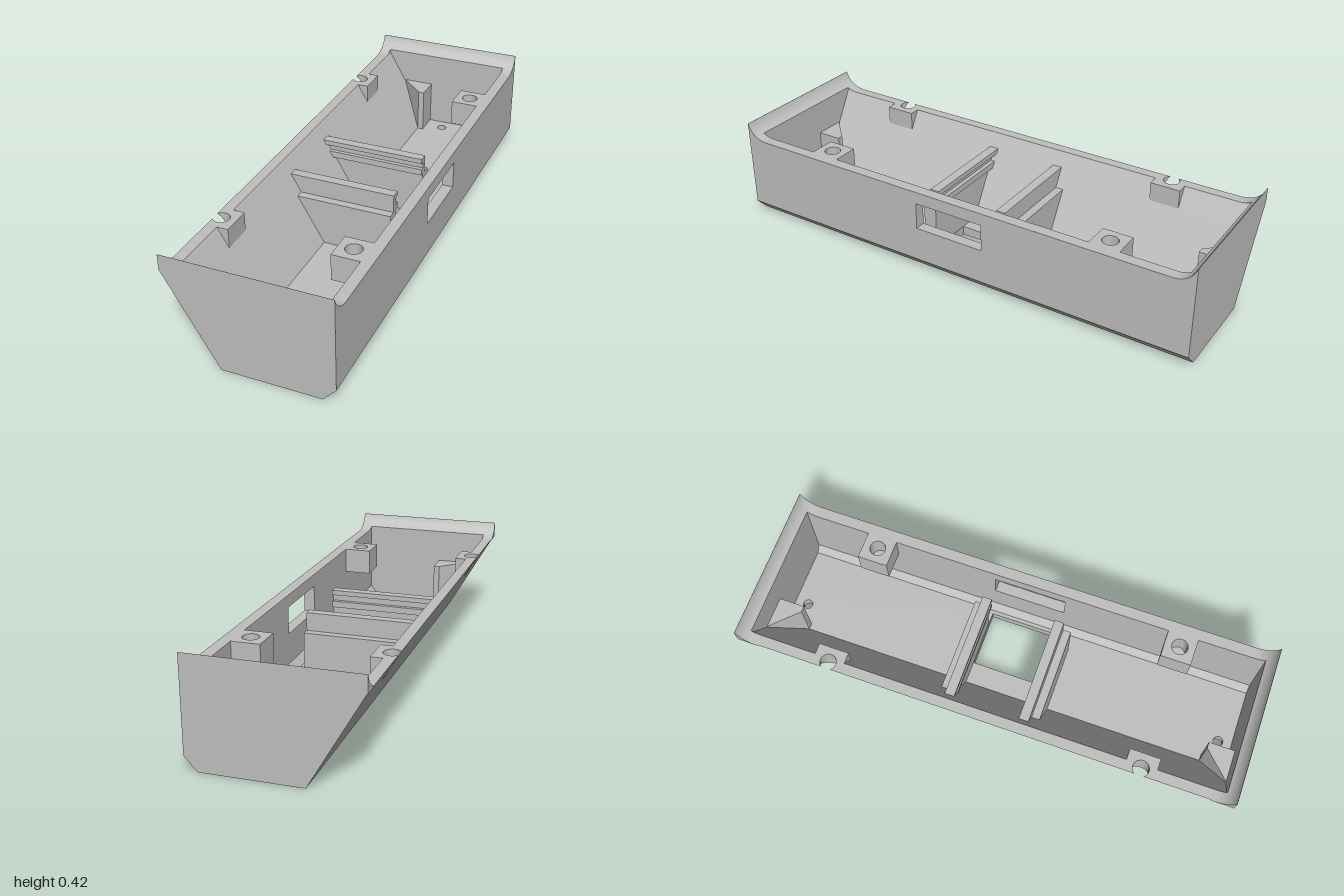
import * as THREE from 'three';
import { toCreasedNormals } from 'three/addons/utils/BufferGeometryUtils.js';

const RIM = 0.355, FLOOR = 0.038, INNER_Z = 0.96, RIGHT = 0.32;
const SLOPE = 0.21 / 0.36;
const outerX = (y) => -0.11 - SLOPE * y;              // outside of the leaning wall
const outerY = (x) => (-0.11 - x) / SLOPE;
const innerX = (y) => -0.09 - SLOPE * (y - FLOOR);    // inside of the leaning wall
const innerY = (x) => FLOOR + (-0.09 - x) / SLOPE;

export function createModel() {
  const group = new THREE.Group();
  const grey = new THREE.MeshStandardMaterial({ color: 0xbfbfbf });
  grey.name = 'grey plastic';

  const add = (name, geo) => {
    const mesh = new THREE.Mesh(toCreasedNormals(geo, 0.5), grey);
    mesh.name = name;
    group.add(mesh);
    return mesh;
  };
  const poly = (pts) => new THREE.Shape(pts.map(([a, b]) => new THREE.Vector2(a, b)));
  const circle = (x, y, r) => new THREE.Path().absarc(x, y, r, 0, Math.PI * 2, true);
  const extrude = (shape, depth) =>
    new THREE.ExtrudeGeometry(shape, { depth, bevelEnabled: false, curveSegments: 20 });

  // Section in x,y run along z
  const along = (name, shape, z0, z1) => add(name, extrude(shape, z1 - z0).translate(0, 0, z0));
  // Section in z,y run along x
  const across = (name, shape, x0, x1) =>
    add(name, extrude(shape, x1 - x0).rotateY(-Math.PI / 2).translate(x1, 0, 0));
  // Plan in x,-z raised to a flat top; the underside follows a rule of x
  const raise = (name, shape, top, bottom) => {
    const geo = extrude(shape, 1).rotateX(-Math.PI / 2);
    const p = geo.attributes.position;
    for (let i = 0; i < p.count; i++) p.setY(i, p.getY(i) > 0.5 ? top : bottom(p.getX(i)));
    return add(name, geo);
  };

  // Floor with a rectangular opening and two screw holes
  const floor = poly([[-0.09, -INNER_Z], [0.25, -INNER_Z], [0.25, INNER_Z], [-0.09, INNER_Z]]);
  floor.holes.push(poly([[0, -0.148], [0, 0.148], [0.235, 0.148], [0.235, -0.148]]));
  for (const s of [-1, 1]) floor.holes.push(circle(0.013, s * 0.905, 0.02));
  raise('floor', floor, FLOOR, () => 0);

  // Upright wall, split around its window
  const wallLow = [[0.25, 0], [0.27, 0], [RIGHT, 0.053]];
  const wallFoot = [[0.275, 0.07], [0.25, FLOOR]];
  const upright = (top) => poly([...wallLow, [RIGHT, top], [0.275, top], ...wallFoot]);
  along('uprightWall', upright(RIM), -INNER_Z, -0.148);
  along('uprightWall', upright(RIM), 0.148, INNER_Z);
  along('wallBelowWindow', upright(0.195), -0.148, 0.148);
  along('wallAboveWindow',
    poly([[0.275, 0.305], [RIGHT, 0.305], [RIGHT, RIM], [0.275, RIM]]), -0.148, 0.148);

  // Leaning wall: lower strip full length, upper strip between the screw tabs
  const TAB_X = -0.23, TAB_Z = 0.632, TAB_H = 0.061;
  along('leaningWallLower', poly([[-0.11, 0], [-0.09, 0], [-0.09, FLOOR],
    [TAB_X, innerY(TAB_X)], [TAB_X, outerY(TAB_X)]]), -INNER_Z, INNER_Z);
  const upper = poly([[TAB_X, outerY(TAB_X)], [TAB_X, innerY(TAB_X)],
    [innerX(RIM), RIM], [outerX(RIM), RIM]]);
  const a = TAB_Z - TAB_H, b = TAB_Z + TAB_H;
  for (const [z0, z1] of [[-INNER_Z, -b], [-a, a], [b, INNER_Z]])
    along('leaningWallUpper', upper, z0, z1);

  for (const s of [-1, 1]) {
    // Tab in the leaning wall whose bore breaks out of the slope
    const edge = outerX(RIM), r = 0.032, cx = -0.29;
    const open = Math.acos((edge - cx) / r);
    const tab = new THREE.Shape();
    tab.moveTo(edge, -TAB_H);
    tab.lineTo(TAB_X, -TAB_H);
    tab.lineTo(TAB_X, TAB_H);
    tab.lineTo(edge, TAB_H);
    tab.absarc(cx, 0, r, open, -open, true);
    tab.closePath();
    raise('slopedScrewTab', tab, RIM, outerY).position.z = s * TAB_Z;

    // Blind screw boss on the upright wall
    const bossPlan = () => poly([[0.165, -TAB_H], [0.28, -TAB_H], [0.28, TAB_H], [0.165, TAB_H]]);
    const boss = bossPlan();
    boss.holes.push(circle(0.225, 0, r));
    raise('screwBoss', boss, RIM, () => 0.27).position.z = s * TAB_Z;
    raise('screwBossBase', bossPlan(), 0.27, () => 0.25).position.z = s * TAB_Z;

    // Corner gusset
    raise('cornerGusset', poly([[-0.2, s * 0.965], [-0.065, s * 0.965],
      [-0.065, s * 0.855], [-0.09, s * 0.855]]), innerY(-0.2), (x) => Math.max(innerY(x), FLOOR) - 0.01);

    // End panel with a rounded slot
    const panel = poly([[-0.11, 0], ...wallLow.slice(1), [RIGHT, RIM], [outerX(RIM), RIM]]);
    const slot = new THREE.Path();
    slot.absarc(0.015, 0.221, 0.024, 0, Math.PI, false);
    slot.absarc(0.015, 0.117, 0.024, Math.PI, Math.PI * 2, false);
    slot.closePath();
    panel.holes.push(slot);
    along('endPanel', panel, s > 0 ? INNER_Z : -1, s > 0 ? 1 : -INNER_Z);

    // Concave lip sweeping up to the end, and its run-out on both side rims
    const sweep = (a0, a1, n) => Array.from({ length: n + 1 }, (_, i) => {
      const t = a0 + (a1 - a0) * i / n;
      return [s * (0.913 + 0.09 * Math.sin(t)), 0.445 - 0.09 * Math.cos(t)];
    });
    const mid = Math.asin((INNER_Z - 0.913) / 0.09);
    across('endLip', poly([[s * INNER_Z, RIM], ...sweep(mid, 1.289, 12), [s, 0.42], [s, RIM]]),
      -RIGHT, RIGHT);
    const runOut = poly([...sweep(0, mid, 8), [s * INNER_Z, RIM]]);
    across('rimRunOut', runOut, -RIGHT, -0.275);
    across('rimRunOut', runOut, 0.275, RIGHT);

    // Board holder: support, upper web and two rails with a groove between
    const holder = (name, y0, y1, z0, z1) => along(name,
      poly([[innerX(y0) - 0.008, y0], [0.19, y0], [0.19, y1], [innerX(y1), y1]]),
      Math.min(s * z0, s * z1), Math.max(s * z0, s * z1));
    holder('boardSupport', FLOOR - 0.005, 0.227, 0.15, 0.205);
    holder('boardWeb', 0.227, 0.3, 0.15, 0.172);
    holder('lowerRail', 0.227, 0.253, 0.133, 0.15);
    holder('upperRail', 0.28, 0.3, 0.133, 0.15);
  }
  return group;
}
